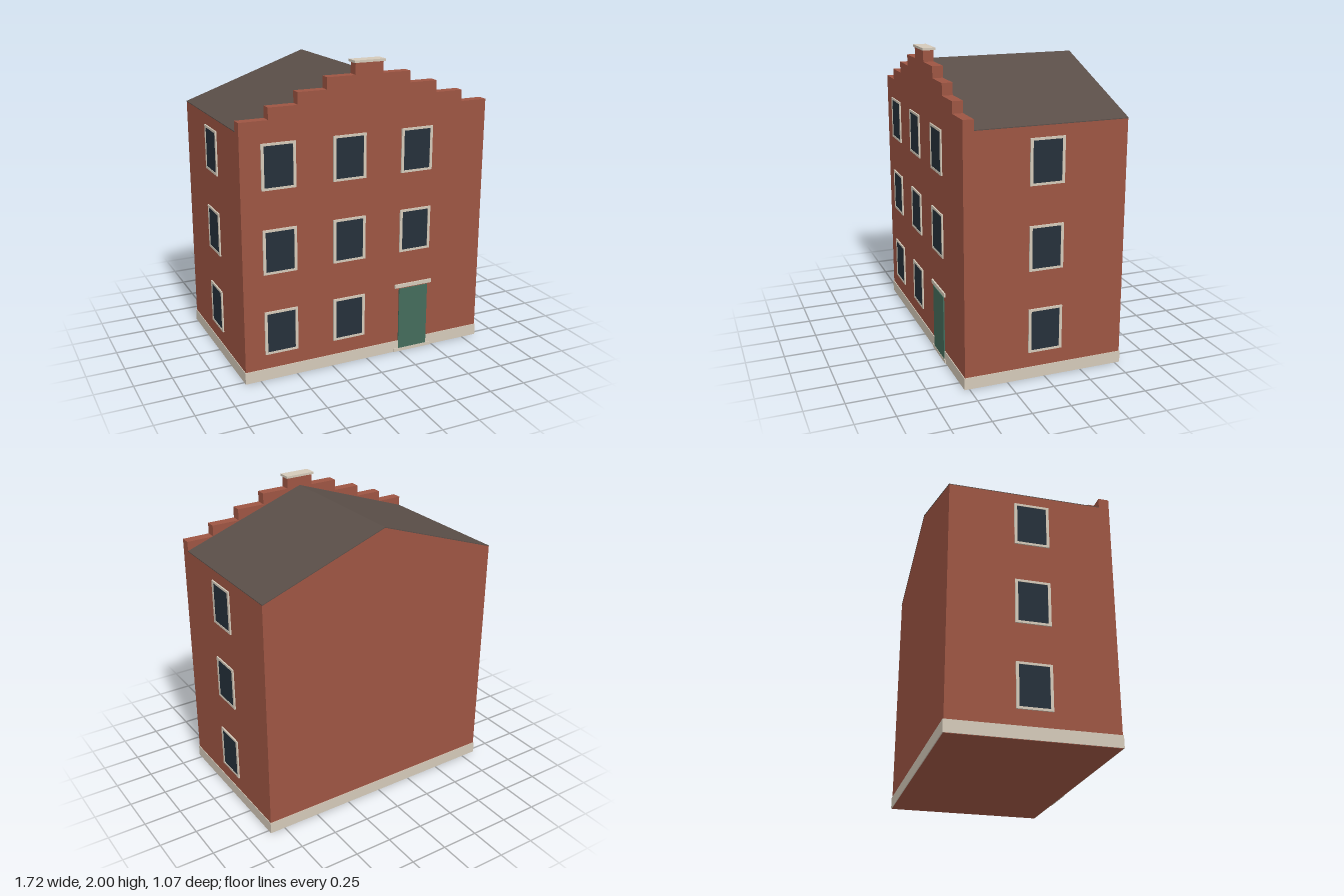
import * as THREE from 'three';

const paint = (name, color) => {
  const m = new THREE.MeshStandardMaterial({ color });
  m.name = name;
  return m;
};

const W = 0.85, BACK = -0.528, FRONT = 0.528, GABLE = 0.46;
const EAVE = 1.62, RIDGE = 1.918;

export function createModel() {
  const brick = paint('brick', 0x9d5543);
  const stone = paint('stone', 0xd4c9b9);
  const slate = paint('slate', 0x5a4e48);
  const glass = paint('glass', 0x25303a);
  const green = paint('door green', 0x446b5b);

  const house = new THREE.Group();
  house.name = 'house';

  const add = (name, geometry, material, parent = house) => {
    const mesh = new THREE.Mesh(geometry, material);
    mesh.name = name;
    parent.add(mesh);
    return mesh;
  };
  // Box given by its limits on each axis
  const box = (name, material, [x0, x1], [y0, y1], [z0, z1]) => {
    const mesh = add(name, new THREE.BoxGeometry(x1 - x0, y1 - y0, z1 - z0), material);
    mesh.position.set((x0 + x1) / 2, (y0 + y1) / 2, (z0 + z1) / 2);
  };
  // Outline in x and y, extruded from z0 to z1
  const prism = (name, material, points, z0, z1) => {
    const shape = new THREE.Shape(points.map(([x, y]) => new THREE.Vector2(x, y)));
    const geometry = new THREE.ExtrudeGeometry(shape, { depth: z1 - z0, bevelEnabled: false });
    add(name, geometry.translate(0, 0, z0), material);
  };

  // Main body with a plain pointed rear gable
  prism('body', brick, [[-W, 0], [W, 0], [W, EAVE], [0, RIDGE], [-W, EAVE]], BACK, GABLE);

  // Thin roof covering over both slopes
  const t = 0.005;
  prism('roof', slate, [
    [-W, EAVE], [0, RIDGE], [W, EAVE], [W, EAVE + t], [0, RIDGE + t], [-W, EAVE + t],
  ], BACK - 0.002, GABLE);

  // Front wall with a stepped gable
  const steps = [[0.85, 1.688], [0.665, 1.762], [0.475, 1.838], [0.285, 1.912], [0.095, 1.988]];
  const rightSide = [[W, 0]];
  steps.forEach(([x, y], i) => {
    rightSide.push([x, i ? steps[i - 1][1] : 1.6], [x, y]);
  });
  const leftSide = rightSide.map(([x, y]) => [-x, y]).reverse();
  prism('steppedFrontWall', brick, [...rightSide, ...leftSide], GABLE, FRONT);
  box('gableCap', stone, [-0.105, 0.105], [1.985, 2], [0.45, 0.535]);

  // Base course
  box('plinth', stone, [-W - 0.004, W + 0.004], [0.002, 0.08], [BACK - 0.005, FRONT + 0.005]);

  // Window: stone surround with a thin pane inside it
  const surround = new THREE.Shape();
  const rectangle = (path, w, h) => path.moveTo(-w, -h).lineTo(w, -h).lineTo(w, h).lineTo(-w, h).closePath();
  rectangle(surround, 0.112, 0.145);
  surround.holes.push(rectangle(new THREE.Path(), 0.094, 0.13));
  const frameGeometry = new THREE.ExtrudeGeometry(surround, { depth: 0.009, bevelEnabled: false });
  const paneGeometry = new THREE.BoxGeometry(0.19, 0.262, 0.006).translate(0, 0, 0.003);
  const addWindow = (name, x, y, z, turn) => {
    const group = new THREE.Group();
    group.name = name;
    add('windowFrame', frameGeometry, stone, group);
    add('windowPane', paneGeometry, glass, group);
    group.position.set(x, y, z);
    group.rotation.y = turn;
    house.add(group);
  };

  [0.325, 0.865, 1.405].forEach((y, floor) => {
    [-0.605, -0.132, 0.343].forEach((x, column) => {
      if (floor > 0 || column < 2) addWindow('frontWindow', x, y, FRONT, 0);
    });
    addWindow('leftWindow', W, y, 0, Math.PI / 2);
    addWindow('rightWindow', -W, y, 0, -Math.PI / 2);
  });

  // Entrance
  box('door', green, [0.237, 0.45], [0.024, 0.457], [FRONT, FRONT + 0.008]);
  box('doorLintel', stone, [0.205, 0.48], [0.466, 0.491], [FRONT - 0.01, FRONT + 0.01]);
  box('doorStep', stone, [0.205, 0.48], [0.002, 0.024], [FRONT - 0.01, FRONT + 0.01]);

  return house;
}
